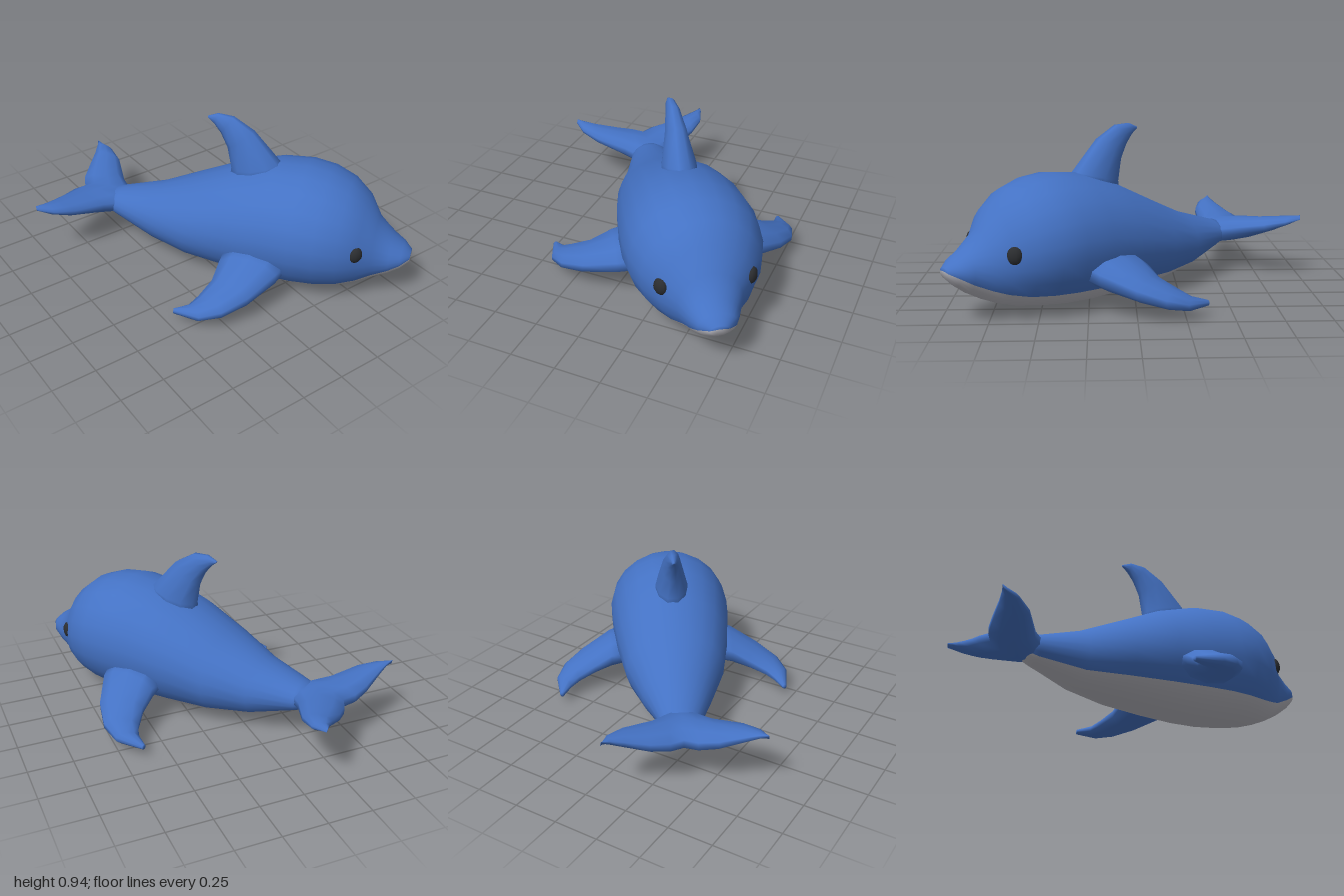
import * as THREE from 'three';

const V = (x, y, z) => new THREE.Vector3(x, y, z);
const skin = new THREE.MeshStandardMaterial({ color: 0x4472c4 });
skin.name = 'blueSkin';
const belly = new THREE.MeshStandardMaterial({ color: 0xb8b8c0 });
belly.name = 'paleBelly';
const dark = new THREE.MeshStandardMaterial({ color: 0x2b2d30 });
dark.name = 'darkEye';

// Skin a list of equal rings; faces from ring point `split` onward use the second material
function loft(name, rings, split = Infinity) {
  const n = rings[0].length;
  const points = rings.flat();
  const faces = [[], []];
  const slot = (j) => faces[j >= split ? 1 : 0];
  for (let i = 0; i < rings.length - 1; i++) {
    for (let j = 0; j < n; j++) {
      const a = i * n + j, b = i * n + ((j + 1) % n);
      slot(j).push(a, b, b + n, a, b + n, a + n);
    }
  }
  // end caps
  for (const [first, end] of [[0, false], [(rings.length - 1) * n, true]]) {
    const centre = V(0, 0, 0);
    for (let j = 0; j < n; j++) centre.addScaledVector(points[first + j], 1 / n);
    const c = points.push(centre) - 1;
    for (let j = 0; j < n; j++) {
      const a = first + j, b = first + ((j + 1) % n);
      slot(j).push(...(end ? [c, a, b] : [c, b, a]));
    }
  }
  const geo = new THREE.BufferGeometry().setFromPoints(points);
  geo.setIndex(faces.flat());
  geo.addGroup(0, faces[0].length, 0);
  if (faces[1].length) geo.addGroup(faces[0].length, faces[1].length, 1);
  geo.computeVertexNormals();
  const mesh = new THREE.Mesh(geo, faces[1].length ? [skin, belly] : skin);
  mesh.name = name;
  return mesh;
}

// Oval fin section from leading point to trailing point, with a half thickness vector
function finRing(lead, trail, thick, n = 10) {
  const mid = lead.clone().add(trail).multiplyScalar(0.5);
  const half = lead.clone().sub(trail).multiplyScalar(0.5);
  return Array.from({ length: n }, (_, k) => {
    const a = (k / n) * Math.PI * 2;
    return mid.clone().addScaledVector(half, Math.sin(a)).addScaledVector(thick, Math.cos(a));
  });
}
const mirror = (rings) => rings.map((r) => r.map((p) => V(-p.x, p.y, p.z))).reverse();

// Body: z, half width, top, bottom, height of the colour border
function makeBody() {
  const stations = [
    [-0.60, 0.09, 0.31, 0.19, 0.205],
    [-0.53, 0.115, 0.325, 0.16, 0.18],
    [-0.28, 0.198, 0.40, 0.07, 0.125],
    [-0.04, 0.285, 0.51, 0.03, 0.115],
    [0.21, 0.333, 0.63, 0.01, 0.117],
    [0.43, 0.36, 0.70, 0.0, 0.12],
    [0.60, 0.37, 0.717, 0.005, 0.123],
    [0.73, 0.358, 0.70, 0.02, 0.126],
    [0.85, 0.315, 0.655, 0.04, 0.132],
    [0.95, 0.245, 0.575, 0.07, 0.15],
    [1.02, 0.17, 0.46, 0.10, 0.172],
    [1.11, 0.13, 0.375, 0.15, 0.213],
    [1.17, 0.10, 0.335, 0.195, 0.248],
    [1.215, 0.05, 0.295, 0.24, 0.272],
  ];
  const upper = 16, lower = 8;
  const rings = stations.map(([z, w, top, bottom, border]) => {
    const cy = (top + bottom) / 2, h = (top - bottom) / 2;
    const start = Math.asin(THREE.MathUtils.clamp((border - cy) / h, -1, 1));
    const ring = [];
    for (let k = 0; k < upper + lower; k++) {
      const a = k < upper
        ? start + (Math.PI - 2 * start) * (k / upper)
        : Math.PI - start + (Math.PI + 2 * start) * ((k - upper) / lower);
      ring.push(V(w * Math.cos(a), cy + h * Math.sin(a), z));
    }
    return ring;
  });
  return loft('body', rings, upper);
}

export function createModel() {
  const dolphin = new THREE.Group();
  dolphin.name = 'dolphin';
  dolphin.add(makeBody());

  // Back fin: leading z, y, trailing z, y, half thickness
  const dorsal = [
    [0.47, 0.66, 0.15, 0.50, 0.105],
    [0.445, 0.70, 0.165, 0.63, 0.095],
    [0.29, 0.87, 0.14, 0.75, 0.06],
    [0.17, 0.94, 0.10, 0.83, 0.04],
    [0.08, 0.945, 0.06, 0.88, 0.025],
    [0.02, 0.92, 0.03, 0.905, 0.008],
  ].map(([lz, ly, tz, ty, h]) => finRing(V(0, ly, lz), V(0, ty, tz), V(-h, 0, 0)));
  dolphin.add(loft('dorsalFin', dorsal));

  // Flippers: leading x, z, trailing x, z, height, half thickness
  const flipper = [
    [0.26, 0.60, 0.26, 0.22, 0.235, 0.10],
    [0.39, 0.56, 0.37, 0.215, 0.205, 0.088],
    [0.564, 0.454, 0.47, 0.21, 0.15, 0.065],
    [0.669, 0.344, 0.57, 0.17, 0.11, 0.05],
    [0.711, 0.229, 0.62, 0.135, 0.083, 0.035],
    [0.685, 0.07, 0.66, 0.065, 0.068, 0.015],
  ].map(([lx, lz, tx, tz, y, h]) => finRing(V(lx, y, lz), V(tx, y, tz), V(0, h, 0)));
  dolphin.add(loft('leftFlipper', flipper), loft('rightFlipper', mirror(flipper)));

  // Tail flukes: leading x, z, trailing x, z, height, half thickness
  const fluke = [
    [0.0, -0.44, 0.0, -0.79, 0.25, 0.075],
    [0.08, -0.50, 0.07, -0.828, 0.257, 0.072],
    [0.15, -0.58, 0.175, -0.847, 0.273, 0.062],
    [0.312, -0.688, 0.30, -0.86, 0.312, 0.04],
    [0.393, -0.782, 0.37, -0.872, 0.337, 0.022],
    [0.42, -0.88, 0.415, -0.887, 0.353, 0.005],
  ].map(([lx, lz, tx, tz, y, h]) => finRing(V(lx, y - 0.01, lz), V(tx, y + 0.015, tz), V(0, h, 0)));
  dolphin.add(loft('tailFlukes', [...mirror(fluke).slice(0, -1), ...fluke]));

  // Eyes
  for (const [name, side] of [['leftEye', 1], ['rightEye', -1]]) {
    const eye = new THREE.Mesh(new THREE.SphereGeometry(0.045, 10, 8), dark);
    eye.name = name;
    eye.position.set(side * 0.232, 0.36, 0.945);
    eye.rotation.y = side * 0.85;
    eye.scale.set(0.9, 1.05, 0.6);
    dolphin.add(eye);
  }

  // Turned pose
  dolphin.rotation.y = THREE.MathUtils.degToRad(35);
  dolphin.position.set(0.051, 0, -0.036);
  const model = new THREE.Group();
  model.name = 'model';
  model.add(dolphin);
  return model;
}
